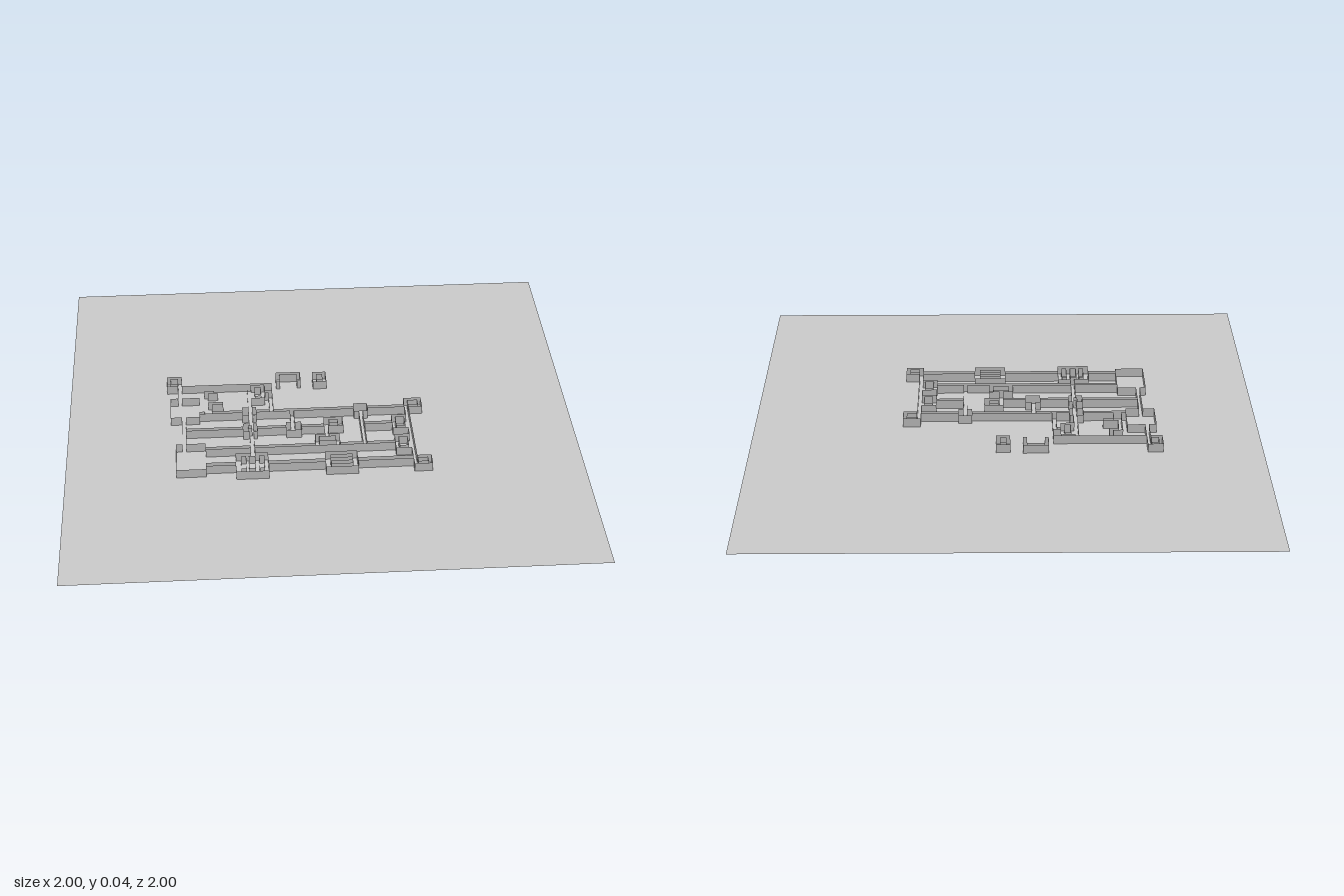
import * as THREE from 'three';

const WALL_HEIGHT = 0.037;
const material = new THREE.MeshStandardMaterial({ color: 0xcccccc, flatShading: true, side: THREE.DoubleSide });

// Walkable rooms: [x0, z0, x1, z1]
const rooms = [
  [-0.61, -0.27, -0.55, -0.2], [-0.595, -0.11, -0.48, 0.025], [-0.575, 0.21, -0.46, 0.38],
  [-0.31, -0.03, -0.255, 0.025], [0.135, -0.03, 0.19, 0.025], [0.34, -0.055, 0.41, 0.005],
  [-0.31, 0.085, -0.255, 0.14], [-0.14, 0.085, -0.08, 0.14], [0.01, 0.06, 0.085, 0.12],
  [-0.03, 0.175, 0.065, 0.235], [0.28, 0.06, 0.34, 0.15], [0.28, 0.195, 0.34, 0.285],
  [0.34, 0.34, 0.41, 0.395], [-0.345, 0.285, -0.22, 0.405], [0, 0.295, 0.125, 0.395],
  [-0.165, -0.275, -0.065, -0.21], [-0.015, -0.27, 0.04, -0.2], [-0.27, -0.19, -0.215, -0.095],
  [-0.445, -0.075, -0.385, -0.01],
];

// Narrow passages joining the rooms
const passages = [
  [-0.565, -0.2, -0.55, -0.11], [-0.55, 0.025, -0.535, 0.21], [-0.48, -0.01, 0.34, 0.005],
  [-0.535, 0.105, 0.01, 0.12], [-0.285, -0.2, -0.27, 0.285], [-0.12, 0.005, -0.105, 0.085],
  [0.01, 0.12, 0.025, 0.175], [0.155, 0.025, 0.17, 0.235], [-0.46, 0.235, 0.28, 0.25],
  [0.17, 0.1, 0.28, 0.115], [0.34, 0.005, 0.355, 0.34], [-0.46, 0.34, 0.34, 0.36],
  [-0.2, -0.145, -0.185, -0.01], [-0.215, -0.145, -0.2, -0.13],
  [-0.46, -0.155, -0.445, -0.01], [-0.445, -0.155, -0.405, -0.14], [-0.42, -0.2, -0.405, -0.155],
];

// Closed cores standing inside the rooms
const cores = [
  [-0.595, -0.255, -0.565, -0.215], [0.355, -0.04, 0.395, -0.01], [-0.29, 0.1, -0.275, 0.12],
  [0.03, 0.075, 0.065, 0.1], [-0.015, 0.19, 0.05, 0.22], [0.295, 0.075, 0.33, 0.135],
  [0.295, 0.21, 0.33, 0.27], [0.355, 0.355, 0.395, 0.38],
  [-0.325, 0.305, -0.305, 0.385], [-0.295, 0.305, -0.27, 0.385], [-0.255, 0.305, -0.235, 0.385],
  [0.02, 0.315, 0.105, 0.335], [0.02, 0.355, 0.105, 0.375],
  [-0.15, -0.26, -0.08, -0.21], [0, -0.255, 0.025, -0.215], [-0.255, -0.175, -0.23, -0.11],
  [-0.43, -0.06, -0.385, -0.01],
];

const inside = (list, x, z) => list.some(([x0, z0, x1, z1]) => x > x0 && x < x1 && z > z0 && z < z1);
const walkable = (x, z) => (inside(rooms, x, z) || inside(passages, x, z)) && !inside(cores, x, z);
const levels = (a, b) => {
  const all = [...rooms, ...passages, ...cores].flatMap(r => [r[a], r[b]]);
  return [...new Set(all)].sort((p, q) => p - q);
};

// Segments along one axis wherever walkable floor meets solid ground
function boundary(across, along, test) {
  const out = [];
  for (const c of across) {
    let start = null;
    along.forEach((s, i) => {
      const mid = (s + along[i + 1]) / 2;
      const edge = i < along.length - 1 && test(c - 0.001, mid) !== test(c + 0.001, mid);
      if (edge && start === null) start = s;
      if (!edge && start !== null) {
        out.push([c, start, s]);
        start = null;
      }
    });
  }
  return out;
}

// Upright sheets standing on the ground segments
function wallGeometry(segments) {
  const position = [];
  for (const [x0, z0, x1, z1] of segments) {
    const h = WALL_HEIGHT;
    position.push(x0, 0, z0, x1, 0, z1, x1, h, z1, x0, 0, z0, x1, h, z1, x0, h, z0);
  }
  const geometry = new THREE.BufferGeometry();
  geometry.setAttribute('position', new THREE.Float32BufferAttribute(position, 3));
  geometry.computeVertexNormals();
  return geometry;
}

export function createModel() {
  const model = new THREE.Group();
  const add = (name, geometry) => {
    const mesh = new THREE.Mesh(geometry, material);
    mesh.name = name;
    model.add(mesh);
  };

  // Flat ground sheet
  add('ground', new THREE.PlaneGeometry(2, 2).rotateX(-Math.PI / 2));

  // Walls running in each direction
  const xs = levels(0, 2), zs = levels(1, 3);
  add('lengthwiseWalls', wallGeometry(
    boundary(xs, zs, walkable).map(([x, z0, z1]) => [x, z0, x, z1])));
  add('crosswiseWalls', wallGeometry(
    boundary(zs, xs, (z, x) => walkable(x, z)).map(([z, x0, x1]) => [x0, z, x1, z])));

  // Single wall closing the back of the upper rooms
  add('backWall', wallGeometry([[-0.55, -0.2, -0.185, -0.2], [-0.185, -0.2, -0.185, -0.145]]));
  return model;
}
